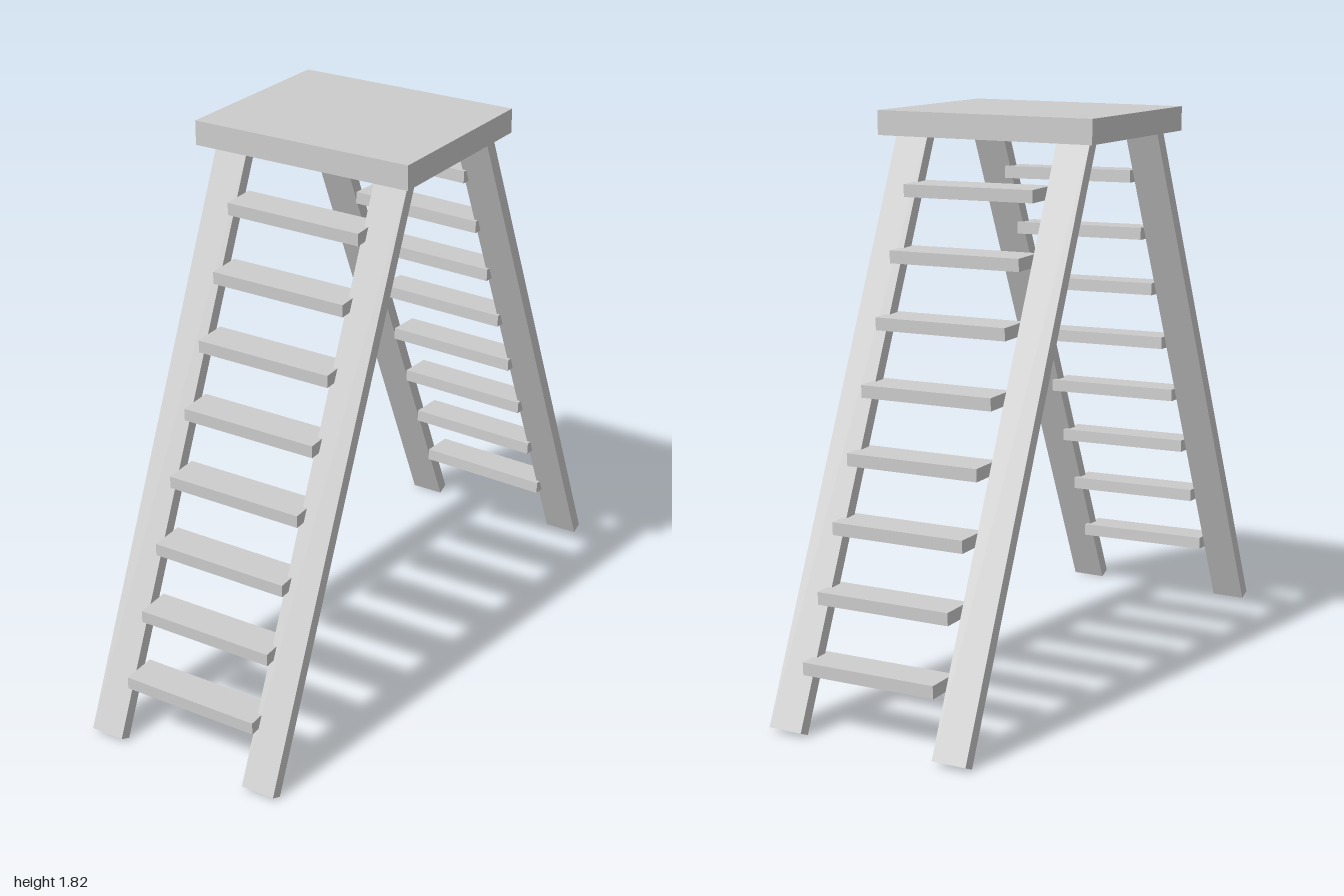
import * as THREE from 'three';

export function createModel() {
  const model = new THREE.Group();
  const wood = new THREE.MeshStandardMaterial({ color: 0xcccccc });
  wood.name = 'paleGrey';

  function addBox(parent, name, size, position) {
    const mesh = new THREE.Mesh(new THREE.BoxGeometry(...size), wood);
    mesh.name = name;
    mesh.position.set(...position);
    parent.add(mesh);
    return mesh;
  }

  // Flat platform on top
  addBox(model, 'platform', [0.758, 0.078, 0.62], [-0.003, 1.781, 0.003]);

  // Two leaning ladders, mirrored front to back
  const lean = 0.409, length = 1.9, thickness = 0.04;
  const legY = (length * Math.cos(lean) + thickness * Math.sin(lean)) / 2;
  const legZ = 1 - (length * Math.sin(lean) + thickness * Math.cos(lean)) / 2;
  for (const side of [1, -1]) {
    const ladder = new THREE.Group();
    ladder.name = side > 0 ? 'frontLadder' : 'backLadder';
    model.add(ladder);

    // Side rails
    for (const x of [-0.289, 0.284]) {
      const rail = addBox(ladder, x > 0 ? 'leftRail' : 'rightRail',
        [0.114, length, thickness], [x, legY, side * legZ]);
      rail.rotation.x = -side * lean;
    }

    // Eight slightly crooked steps
    for (let i = 0; i < 8; i++) {
      const step = addBox(ladder, 'step', [0.462, 0.04, 0.115],
        [0.01, 0.21 + i * 0.1965, side * (0.907 - i * 0.0842)]);
      step.rotation.set(side * 0.03, side * 0.02, -0.015);
    }
  }
  return model;
}
